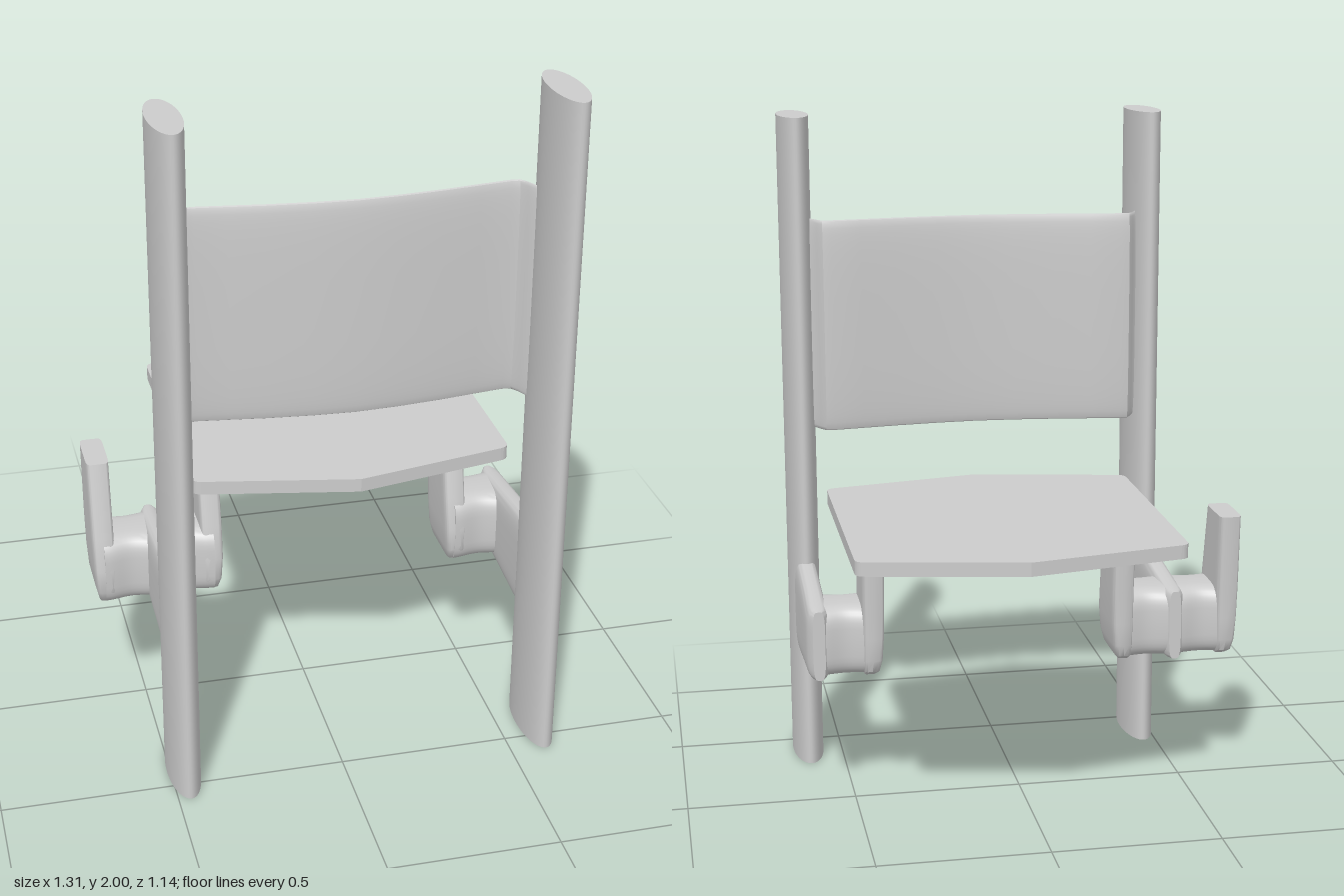
import * as THREE from 'three';
import { toCreasedNormals } from 'three/addons/utils/BufferGeometryUtils.js';

const material = new THREE.MeshStandardMaterial({ color: 0xcccccc });
const CENTRE = 0.07; // x of the chair's own middle

// Loft of rounded-rectangle rings along +y; ring = [h, u, v, halfU, halfV]
function loft(rings, power = 5, sides = 40) {
  const pos = [], index = [];
  const soft = (c) => Math.sign(c) * Math.pow(Math.abs(c), 2 / power);
  for (const [h, u, v, hu, hv] of rings) {
    for (let i = 0; i < sides; i++) {
      const t = (i / sides) * Math.PI * 2;
      pos.push(u + hu * soft(Math.cos(t)), h, v + hv * soft(Math.sin(t)));
    }
  }
  for (let j = 0; j < rings.length - 1; j++) {
    for (let i = 0; i < sides; i++) {
      const a = j * sides + i, b = j * sides + ((i + 1) % sides);
      index.push(a, a + sides, b, b, a + sides, b + sides);
    }
  }
  // End caps
  const last = (rings.length - 1) * sides, c = rings.length * sides;
  for (const r of [rings[0], rings[rings.length - 1]]) pos.push(r[1], r[0], r[2]);
  for (let i = 0; i < sides; i++) {
    const k = (i + 1) % sides;
    index.push(c, i, k, c + 1, last + k, last + i);
  }
  const g = new THREE.BufferGeometry();
  g.setAttribute('position', new THREE.Float32BufferAttribute(pos, 3));
  g.setIndex(index);
  return g;
}

function add(group, name, geometry) {
  const mesh = new THREE.Mesh(geometry, material);
  mesh.name = name;
  group.add(mesh);
  return mesh;
}

const crease = (g) => toCreasedNormals(g, 0.7);

// Loft along x: ring = [x, y, z, halfY, halfZ]
const loftX = (rings, power) =>
  crease(loft(rings.map(([x, y, z, hy, hz]) => [x, -y, z, hy, hz]), power).rotateZ(-Math.PI / 2));

// Horizontal hub with pinched waists on either side of the arm
function hub(x0, x1, n) {
  const rings = [];
  for (let i = 0; i <= 12 * n; i++) {
    const t = i / (12 * n);
    const s = 1 - 0.14 * Math.sin(t * Math.PI * n) ** 2;
    rings.push([x0 + (x1 - x0) * t, 0.507, 0.033, 0.107, 0.107 * s]);
  }
  return loftX(rings, 4);
}

// Upright paddle; out = side its rounded heel curls away from
function paddle(x, out) {
  const rows = [ // y, back z, front z, half thickness
    [0.40, -0.04, 0.09, 0.017], [0.415, -0.065, 0.12, 0.024], [0.45, -0.077, 0.137, 0.029],
    [0.52, -0.08, 0.139, 0.032], [0.62, -0.085, 0.117, 0.033], [0.84, -0.097, 0.065, 0.033],
  ];
  return crease(loft(rows.map(([y, b, f, h]) =>
    [y, x - out * (0.033 - h) * 0.6, (b + f) / 2, h, (f - b) / 2]), 7));
}

export function createModel() {
  const model = new THREE.Group();
  model.name = 'chair';

  // Oval posts, each with a tapering arm reaching back under the seat
  for (const [side, x] of [['right', -0.463], ['left', 0.605]]) {
    const post = crease(new THREE.CylinderGeometry(1, 1, 2, 40));
    post.scale(0.047, 1, 0.143).translate(x, 1, 0.428);
    add(model, side + 'Post', post);

    const arm = loft([ // -z, x, y, half width, half height
      [-0.42, x, 0.505, 0.035, 0.157], [-0.285, x, 0.505, 0.035, 0.146],
      [-0.1, x, 0.506, 0.035, 0.124], [0.02, x, 0.506, 0.035, 0.11],
      [0.055, x, 0.506, 0.031, 0.107], [0.075, x, 0.506, 0.018, 0.105],
    ], 4);
    add(model, side + 'Arm', crease(arm.rotateX(-Math.PI / 2)));
  }

  // Hubs and paddles
  add(model, 'rightHub', hub(-0.625, -0.3, 2));
  add(model, 'leftHub', hub(0.44, 0.605, 1));
  add(model, 'rightOuterPaddle', paddle(-0.624, -1));
  add(model, 'rightInnerPaddle', paddle(-0.303, 1));
  add(model, 'leftInnerPaddle', paddle(0.444, -1));

  // Six-sided seat board with softened side corners
  const seat = new THREE.Shape();
  const w = 0.465, r = 0.025;
  seat.moveTo(0, 0.395);
  seat.lineTo(w - r, 0.308);
  seat.quadraticCurveTo(w, 0.303, w, 0.303 - r);
  seat.lineTo(w, -0.483 + r);
  seat.quadraticCurveTo(w, -0.483, w - r, -0.488);
  seat.lineTo(0, -0.573);
  seat.lineTo(-w + r, -0.488);
  seat.quadraticCurveTo(-w, -0.483, -w, -0.483 + r);
  seat.lineTo(-w, 0.303 - r);
  seat.quadraticCurveTo(-w, 0.303, -w + r, 0.308);
  const board = new THREE.ExtrudeGeometry(seat, { depth: 0.04, bevelEnabled: false, curveSegments: 5 });
  add(model, 'seat', board.rotateX(Math.PI / 2).translate(CENTRE + 0.004, 0.88, 0));

  // Bowed backrest whose ends hook forward into the posts
  const half = [[0.51, 0.362], [0.495, 0.35], [0.48, 0.318], [0.465, 0.297], [0.44, 0.295],
    [0.35, 0.307], [0.25, 0.321], [0.12, 0.334]];
  const path = [...half.map(([x, z]) => [-x, z]), [0, 0.34], ...half.slice().reverse()];
  add(model, 'backrest', loftX(path.map(([x, z]) => [CENTRE + x, 1.382, z, 0.317, 0.015]), 3));

  return model;
}
